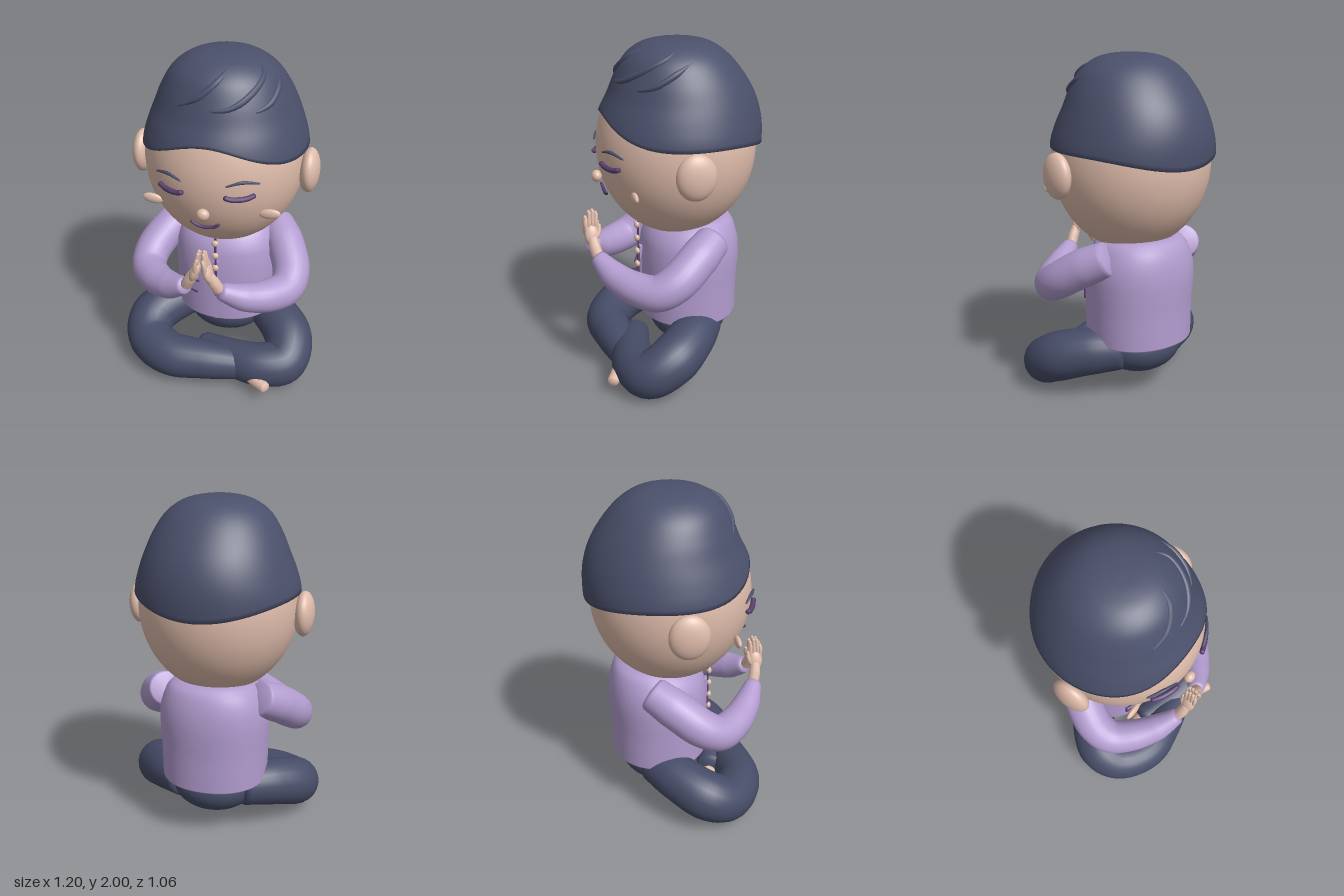
import * as THREE from 'three';
import { mergeVertices } from 'three/addons/utils/BufferGeometryUtils.js';
import { ParametricGeometry } from 'three/addons/geometries/ParametricGeometry.js';

const V = (p) => new THREE.Vector3(...p);

function material(name, color, side = THREE.FrontSide) {
  const m = new THREE.MeshStandardMaterial({ color, side });
  m.name = name;
  return m;
}

// Weld the seams of a geometry so that its normals are smooth all round
function smooth(geo) {
  geo.deleteAttribute('uv');
  geo.deleteAttribute('normal');
  const welded = mergeVertices(geo, 1e-5);
  welded.computeVertexNormals();
  return welded;
}

// Tube with changing radius and rounded ends
function taperedTube(points, radii, { rings = 64, sides = 24, cap = 0.06 } = {}) {
  const curve = new THREE.CatmullRomCurve3(points.map(V));
  const geo = new THREE.TubeGeometry(curve, rings, 1, sides);
  const pos = geo.attributes.position, v = new THREE.Vector3();
  for (let i = 0; i <= rings; i++) {
    const t = i / rings, c = curve.getPointAt(t);
    const f = t * (radii.length - 1), k = Math.min(Math.floor(f), radii.length - 2);
    const end = Math.min(1, Math.min(t, 1 - t) / cap);
    const r = THREE.MathUtils.lerp(radii[k], radii[k + 1], f - k) * Math.sqrt(1 - (1 - end) ** 2);
    for (let j = 0; j <= sides; j++) {
      const n = i * (sides + 1) + j;
      v.fromBufferAttribute(pos, n).sub(c).multiplyScalar(r).add(c);
      pos.setXYZ(n, v.x, v.y, v.z);
    }
  }
  return smooth(geo);
}

// Hair outline from crown to nape: height, half width, front z, back z
const HAIR = [[2, 0, -0.03, -0.03], [1.992, 0.11, 0.09, -0.15], [1.965, 0.205, 0.18, -0.24],
  [1.9, 0.295, 0.262, -0.33], [1.8, 0.36, 0.318, -0.415], [1.7, 0.404, 0.36, -0.475],
  [1.6, 0.442, 0.41, -0.51], [1.5, 0.47, 0.437, -0.524], [1.36, 0.478, 0.44, -0.522]];
const hairFront = new THREE.CatmullRomCurve3(HAIR.map(([y, w, f]) => V([w, y, f])));
const hairBack = new THREE.CatmullRomCurve3(HAIR.map(([y, w, , b]) => V([w, y, b])));

function hairRing(u) {
  const a = hairFront.getPoint(u), b = hairBack.getPoint(u);
  return { y: a.y, rx: Math.max(a.x, 0), cz: (a.z + b.z) / 2, rz: (a.z - b.z) / 2 };
}

// Finds the ring parameter at which test(ring) becomes true
function findRing(test) {
  let lo = 0, hi = 1;
  for (let i = 0; i < 24; i++) {
    const mid = (lo + hi) / 2;
    if (test(hairRing(mid))) hi = mid; else lo = mid;
  }
  return hi;
}

function hairGeometry() {
  return smooth(new ParametricGeometry((s, t, out) => {
    const a = s * Math.PI * 2, c = Math.cos(a);
    const edge = 1.475 + 0.132 * Math.max(0, c) ** 4 - 0.075 * Math.max(0, -c) ** 3;
    const last = findRing((r) => r.y < edge);
    const rim = t === 0 ? 0.96 : 1; // first row turns inward to close the rim
    const r = hairRing(last * Math.min(1, (1 - t) * 40 / 39));
    out.set(Math.sin(a) * r.rx * rim, r.y, r.cz + c * r.rz * rim);
  }, 72, 40));
}

// A point on top of the hair
function onHair([x, z]) {
  const r = hairRing(findRing((q) => (x / (q.rx + 1e-6)) ** 2 + ((z - q.cz) / (q.rz + 1e-6)) ** 2 < 1));
  return [x, r.y - 0.007, z];
}

// A point just in front of the face
const onFace = (x, y, lift) =>
  [x, y, -0.03 + 0.46 * Math.sqrt(1 - (x / 0.46) ** 2 - ((y - 1.39) / 0.525) ** 2) + lift];

export function createModel() {
  const model = new THREE.Group();
  const skin = material('skin', 0xdfbcab);
  const hairColor = material('hair navy', 0x4b506b, THREE.DoubleSide);
  const trousers = material('trouser navy', 0x474d68);
  const shirt = material('shirt lilac', 0xb39dd0);
  const plum = material('plum', 0x5a4070);

  const add = (name, geo, mat, at = [0, 0, 0], rot = [0, 0, 0], parent = model) => {
    const m = new THREE.Mesh(geo, mat);
    m.name = name;
    m.position.set(...at);
    m.rotation.set(...rot);
    parent.add(m);
  };
  const ball = (name, at, [x, y, z], mat, rot, detail = 24) =>
    add(name, new THREE.SphereGeometry(1, detail * 2, detail).scale(x, y, z), mat, at, rot);
  const tube = (name, points, radii, mat, opts) => add(name, taperedTube(points, radii, opts), mat);
  const thin = { rings: 24, sides: 10, cap: 0.08 };

  // Head and hair
  ball('head', [0, 1.39, -0.03], [0.462, 0.525, 0.462], skin, undefined, 32);
  add('hair', hairGeometry(), hairColor);
  const locks = [
    [[-0.18, 0.28], [-0.06, 0.292], [0.03, 0.24], [0.07, 0.14]],
    [[0.18, 0.01], [0.235, 0.09], [0.2, 0.22], [0.11, 0.3], [0, 0.325]],
    [[0.275, -0.05], [0.31, 0.07], [0.29, 0.17], [0.23, 0.25]],
  ];
  for (const lock of locks) tube('hairLock', lock.map(onHair), [0.008, 0.018, 0.018, 0.008], hairColor, thin);

  // Face
  ball('nose', [0, 1.235, 0.44], [0.036, 0.034, 0.03], skin);
  tube('mouth', [[-0.085, 1.165], [-0.045, 1.138], [0, 1.13], [0.045, 1.138], [0.085, 1.165]]
    .map(([x, y]) => onFace(x, y, 0.024)), [0.009, 0.011, 0.009], plum, thin);
  for (const s of [-1, 1]) {
    ball('ear', [s * 0.493, 1.35, -0.003], [0.058, 0.13, 0.112], skin);
    ball('cheek', [s * 0.335, 1.208, 0.295], [0.06, 0.03, 0.018], skin, [0, 0, s * 0.12]);
    tube('closedEye', [[0.11, 1.353], [0.15, 1.338], [0.19, 1.335], [0.23, 1.338], [0.27, 1.353]]
      .map(([x, y]) => onFace(s * x, y, 0.018)), [0.014, 0.016, 0.014], plum, { ...thin, cap: 0.04 });
    tube('eyebrow', [[0.12, 1.414], [0.205, 1.434], [0.29, 1.414]]
      .map(([x, y]) => onFace(s * x, y, 0.015)), [0.005, 0.01, 0.005], hairColor, thin);
  }

  // Shirt body, rows of height, half width, front z, back z
  const rows = [[0.338, 0, -0.1, -0.1], [0.338, 0.3, 0.17, -0.38], [0.338, 0.314, 0.188, -0.398],
    [0.345, 0.316, 0.19, -0.4], [0.5, 0.318, 0.19, -0.4], [0.6, 0.322, 0.19, -0.402],
    [0.7, 0.326, 0.188, -0.41], [0.8, 0.322, 0.175, -0.405], [0.86, 0.3, 0.155, -0.39],
    [0.91, 0.275, 0.115, -0.375], [0.945, 0.24, 0.06, -0.35], [0.965, 0.18, 0.01, -0.3],
    [0.965, 0, -0.1, -0.1]];
  const squarish = (v) => Math.sign(v) * Math.abs(v) ** 0.93;
  add('shirtBody', smooth(new ParametricGeometry((s, t, out) => {
    const [y, w, f, b] = rows[Math.round(t * (rows.length - 1))], a = s * Math.PI * 2;
    out.set(w * squarish(Math.sin(a)), y, (f + b) / 2 + (f - b) / 2 * squarish(Math.cos(a)));
  }, 64, rows.length - 1)), shirt);

  // Shirt front, buttons and pockets
  add('placket', new THREE.BoxGeometry(0.034, 0.42, 0.02), shirt, [0, 0.555, 0.186]);
  add('buttonStrip', new THREE.BoxGeometry(0.012, 0.41, 0.009), plum, [0, 0.73, 0.203]);
  for (let i = 0; i < 5; i++) ball('button', [0, 0.56 + i * 0.086, 0.21], [0.021, 0.021, 0.016], skin, undefined, 10);
  for (const s of [-1, 1]) {
    const pocket = new THREE.Group();
    pocket.name = 'pocket';
    pocket.position.set(s * 0.157, 0.567, 0.182);
    pocket.rotation.y = s * 0.4;
    model.add(pocket);
    const line = (w, h, x, y) => add('pocketLine', new THREE.BoxGeometry(w, h, 0.009), plum, [x, y, 0], undefined, pocket);
    line(0.115, 0.008, 0, 0.042);
    line(0.1, 0.008, s * 0.008, -0.042);
    line(0.008, 0.09, s * 0.057, 0);
  }

  // Sleeves and pressed hands
  for (const s of [-1, 1]) {
    const side = (pts) => pts.map(([x, y, z]) => [s * x, y, z]);
    tube('sleeve', side([[0.27, 0.885, -0.19], [0.37, 0.805, -0.05], [0.435, 0.71, 0.09], [0.425, 0.66, 0.19],
      [0.35, 0.66, 0.29], [0.23, 0.695, 0.39], [0.09, 0.775, 0.475]]),
      [0.1, 0.113, 0.112, 0.105, 0.096, 0.08, 0.045], shirt, { cap: 0.025 });
    tube('wrist', side([[0.1, 0.77, 0.465], [0.075, 0.82, 0.478], [0.04, 0.88, 0.487]]),
      [0.035, 0.035, 0.03], skin, thin);
    ball('palm', [s * 0.038, 0.89, 0.487], [0.027, 0.065, 0.042], skin, [0, 0, s * 0.35]);
    for (let i = 0; i < 4; i++) {
      const z = 0.455 + i * 0.02, top = [1.015, 1.032, 1.025, 0.99][i];
      tube('finger', side([[0.03, 0.9, z], [0.024, 0.96, z + 0.004], [0.013, top, z - 0.002]]),
        [0.013, 0.013, 0.01], skin, thin);
    }
    tube('thumb', side([[0.05, 0.87, 0.465], [0.035, 0.91, 0.445], [0.024, 0.95, 0.442]]),
      [0.016, 0.014, 0.01], skin, thin);
  }

  // Hips and crossed legs
  ball('hips', [0, 0.28, -0.11], [0.26, 0.17, 0.238], trousers);
  const thigh = (s) => [[s * 0.15, 0.29, -0.17], [s * 0.33, 0.27, -0.03], [s * 0.447, 0.215, 0.12]];
  const thighRadii = [0.12, 0.14, 0.149];
  tube('rightLeg', [...thigh(-1), [-0.42, 0.155, 0.25], [-0.26, 0.14, 0.36], [-0.05, 0.14, 0.36], [0.22, 0.125, 0.315]],
    [...thighRadii, 0.142, 0.132, 0.115, 0.095], trousers, { cap: 0.03 });
  tube('leftLeg', [...thigh(1), [0.44, 0.145, 0.25], [0.31, 0.135, 0.305], [0.13, 0.13, 0.285], [-0.11, 0.12, 0.2]],
    [...thighRadii, 0.142, 0.13, 0.11, 0.08], trousers, { cap: 0.03 });
  tube('rightFoot', [[0.2, 0.105, 0.33], [0.3, 0.098, 0.405], [0.39, 0.09, 0.465]], [0.05, 0.044, 0.032], skin, thin);
  tube('leftFoot', [[-0.07, 0.115, 0.215], [-0.12, 0.1, 0.2], [-0.175, 0.095, 0.215]], [0.045, 0.045, 0.036], skin, thin);

  return model;
}
